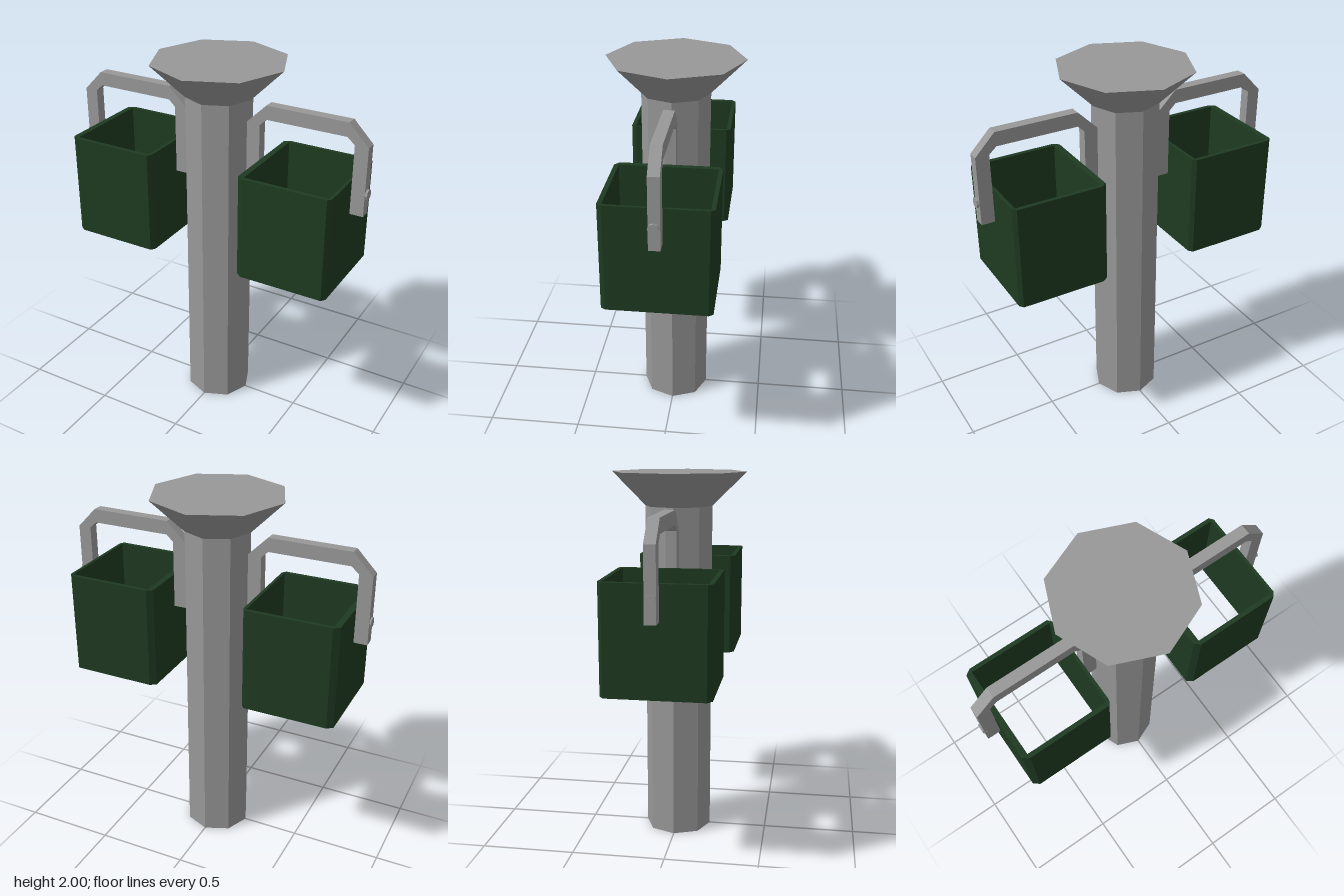
import * as THREE from 'three';

const grey = new THREE.MeshStandardMaterial({ color: 0x989898, flatShading: true, side: THREE.DoubleSide });
const green = new THREE.MeshStandardMaterial({ color: 0x1e3a21, flatShading: true, side: THREE.DoubleSide });

const points = (list) => list.map(([x, y]) => new THREE.Vector2(x, y));

function part(name, geometry, material, parent) {
  const mesh = new THREE.Mesh(geometry, material);
  mesh.name = name;
  parent.add(mesh);
  return mesh;
}

export function createModel() {
  const group = new THREE.Group();
  group.name = 'hangingPlanterPost';

  // Hollow octagonal post, open at the foot, flaring into a closed head
  part('post', new THREE.CylinderGeometry(0.182, 0.182, 1.82, 8, 1, true), grey, group).position.y = 0.91;
  part('flaredHead', new THREE.CylinderGeometry(0.363, 0.182, 0.18, 8, 1, true), grey, group).position.y = 1.91;
  const cap = part('headCap', new THREE.CircleGeometry(0.363, 8), grey, group);
  cap.rotation.x = -Math.PI / 2;
  cap.position.y = 2;

  // Open square sleeve with clipped corners, drawn in plan (x, -z)
  const sleeve = new THREE.Shape(points([
    [-0.223, -0.281], [0.235, -0.281], [0.252, -0.257], [0.252, 0.25],
    [0.235, 0.272], [-0.223, 0.272], [-0.255, 0.25], [-0.255, -0.257],
  ]));
  sleeve.holes.push(new THREE.Path(points([
    [-0.223, -0.257], [-0.223, 0.25], [0.235, 0.25], [0.235, -0.257],
  ])));
  const sleeveGeometry = new THREE.ExtrudeGeometry(sleeve, { depth: 0.563, bevelEnabled: false });
  sleeveGeometry.rotateX(-Math.PI / 2);

  // Flat arched bracket with clipped shoulders
  const arch = new THREE.Shape(points([
    [0.178, 1.34], [0.251, 1.34], [0.251, 1.71], [0.288, 1.745], [0.725, 1.745], [0.765, 1.71],
    [0.765, 1.34], [0.837, 1.34], [0.837, 1.71], [0.73, 1.82], [0.285, 1.82], [0.178, 1.715],
  ]));
  const archGeometry = new THREE.ExtrudeGeometry(arch, { depth: 0.058, bevelEnabled: false });
  archGeometry.translate(0, 0, -0.029);

  for (const side of [1, -1]) {
    const label = side > 0 ? 'left' : 'right';
    const arm = new THREE.Group();
    arm.name = label + 'Arm';
    group.add(arm);

    part(label + 'Planter', sleeveGeometry, green, arm).position.set(side * 0.51, 0.957, 0);

    const bracket = part(label + 'Bracket', archGeometry, grey, arm);
    if (side < 0) {
      bracket.rotation.y = Math.PI;
      bracket.position.x = -0.004;
    }

    // Bolt on the outer leg
    const bolt = part(label + 'Bolt', new THREE.CylinderGeometry(0.028, 0.028, 0.024, 8), grey, arm);
    bolt.rotation.z = Math.PI / 2;
    bolt.position.set(side * 0.837, 1.455, 0.003);
  }
  return group;
}
